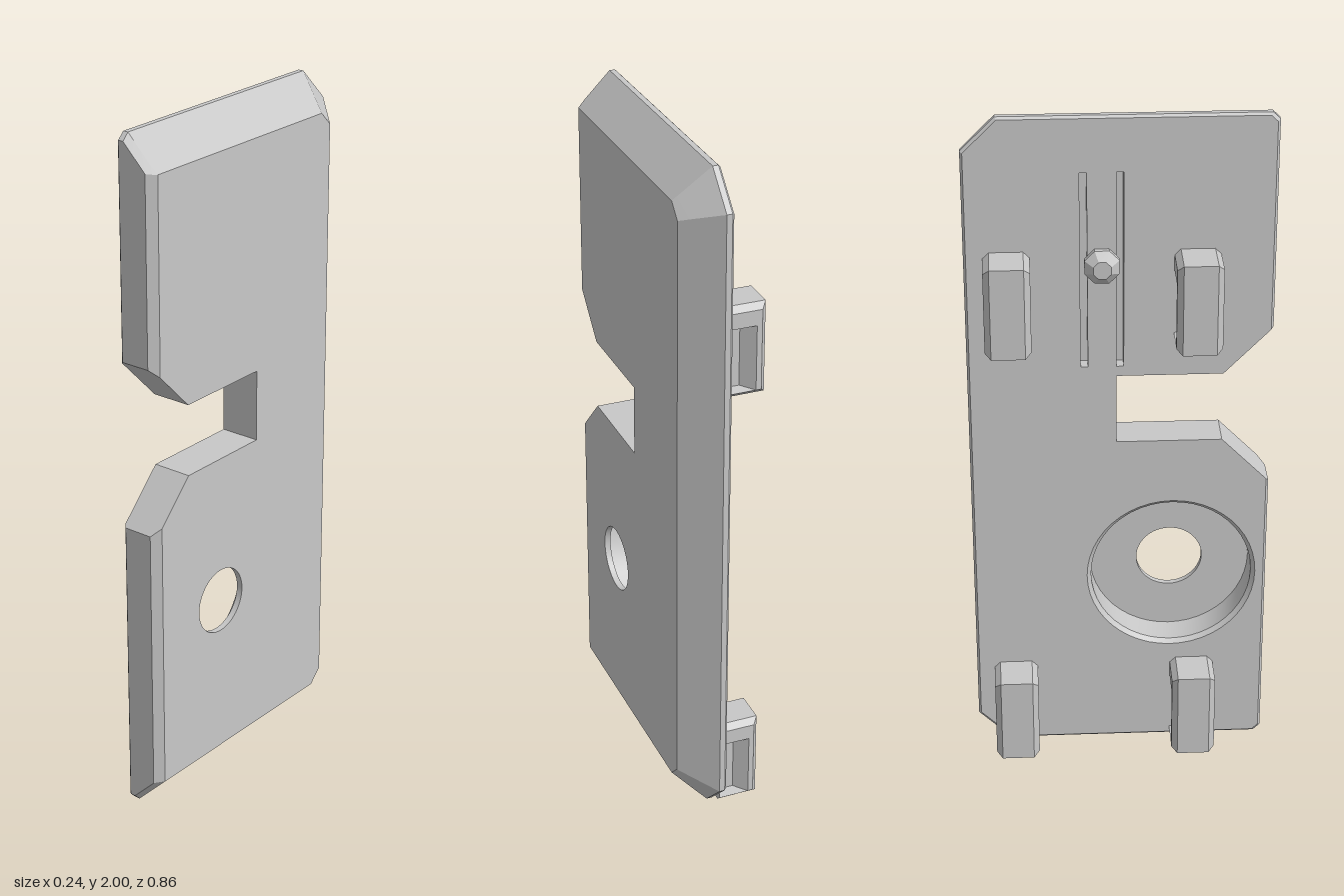
import * as THREE from 'three';
import { toCreasedNormals } from 'three/addons/utils/BufferGeometryUtils.js';

// Local frame while building: u = towards the back, y = up, w = outwards (+x after turning).
const T = 0.118;   // plate thickness
const HALF = 0.4275; // half depth of the plate

// Skin between closed loops of equal length, with optional fan caps
function loft(rings, capStart = false, capEnd = false) {
  const n = rings[0].length, index = [];
  for (let r = 0; r < rings.length - 1; r++) {
    for (let i = 0; i < n; i++) {
      const a = r * n + i, b = r * n + (i + 1) % n;
      index.push(a, b, b + n, a, b + n, a + n);
    }
  }
  const last = (rings.length - 1) * n;
  for (let i = 1; i < n - 1; i++) {
    if (capStart) index.push(0, i + 1, i);
    if (capEnd) index.push(last, last + i, last + i + 1);
  }
  const geo = new THREE.BufferGeometry();
  geo.setAttribute('position', new THREE.Float32BufferAttribute(rings.flat(2), 3));
  geo.setIndex(index);
  return toCreasedNormals(geo, 0.3);
}

// Plate outline at height w; c insets top, back and bottom, f insets the front
function outline(w, c, f, k, e) {
  const F = -HALF + f, B = HALF - c;
  return [
    [F + e, c], [B - k, c], [B, c + k], [B, 2 - c - k], [B - k, 2 - c], [F + e, 2 - c], [F, 2 - c - e],
    [F, 1.37 - f], [-0.29, 1.23], [0.01, 1.23], [0.01, 1.02], [-0.29, 1.02], [F, 0.88 + f], [F, c + e],
  ].map(([u, y]) => [u, y, w]);
}

// Clockwise loops for openings
function circle(r, w) {
  return Array.from({ length: 48 }, (_, i) => {
    const a = -i / 48 * Math.PI * 2;
    return [-0.15 + r * Math.cos(a), 0.575 + r * Math.sin(a), w];
  });
}
function slot(u, w) {
  return [[u - 0.01, 1.26, w], [u - 0.01, 1.84, w], [u + 0.01, 1.84, w], [u + 0.01, 1.26, w]];
}

// Flat face with holes
function face(loop, holes, w, flip) {
  const v = (ring) => ring.map(([u, y]) => new THREE.Vector2(u, y));
  const shape = new THREE.Shape(v(loop));
  holes.forEach((h) => shape.holes.push(new THREE.Path(v(h))));
  const geo = new THREE.ShapeGeometry(shape).translate(0, 0, w);
  if (flip) {
    geo.index.array.reverse();
    geo.computeVertexNormals();
  }
  return geo;
}

// Bevelled clip with a sunken panel on both sides, centred on u = 0, foot at y = 0
function clipGeometry() {
  const ring = (u, w0, y0, y1) => [[u, y0, w0], [u, y1, w0], [u, y1, 0], [u, y0, 0]];
  const half = [
    [0.03, -0.055, 0.02, 0.188],  // panel floor
    [0.064, -0.09, 0.015, 0.205], // panel rim
    [0.064, -0.105, 0.015, 0.25], // side face
    [0.047, -0.12, 0, 0.267],     // body
  ];
  const rings = half.map(([u, ...s]) => ring(-u, ...s));
  half.slice().reverse().forEach(([u, ...s]) => rings.push(ring(u, ...s)));
  return loft(rings, true, true);
}

export function createModel() {
  const grey = new THREE.MeshStandardMaterial({ color: 0xc8c8c8 });
  grey.name = 'light grey';
  const model = new THREE.Group();
  model.name = 'coverPlate';
  const body = new THREE.Group();
  body.name = 'body';
  body.rotation.y = Math.PI / 2;
  model.add(body);
  const add = (name, geo, u = 0, y = 0) => {
    const mesh = new THREE.Mesh(geo, grey);
    mesh.name = name;
    mesh.position.set(u, y, 0);
    body.add(mesh);
    return mesh;
  };

  // Plate edge with wide bevels at top, back and bottom, and a narrow one in front
  const rings = [
    outline(0, 0.007, 0.007, 0.092, 0.018),
    outline(0.007, 0, 0, 0.095, 0.02),
    outline(0.023, 0, 0, 0.095, 0.02),
    outline(0.095, 0.072, 0, 0.053, 0.02),
    outline(T, 0.095, 0.023, 0.04, 0.001),
  ];
  add('plateEdge', loft(rings));

  // Outer and inner faces
  const slots = [0, 0.1];
  add('outerFace', face(rings[4], [circle(0.097, T)], T, false));
  add('innerFace', face(rings[0], [circle(0.247, 0), ...slots.map((u) => slot(u, 0))], 0, true));

  // Stepped round recess with a through hole
  add('roundRecess', loft([
    circle(0.247, 0), circle(0.235, 0.012), circle(0.235, 0.1), circle(0.097, 0.1), circle(0.097, T),
  ]));

  // Two narrow grooves and the locating bump between them
  slots.forEach((u) => add('groove', loft([slot(u, 0), slot(u, 0.04)], false, true)));
  const bumpRing = (r, w) => Array.from({ length: 8 }, (_, i) => {
    const a = (i + 0.5) * Math.PI / 4;
    return [r * Math.cos(a), r * Math.sin(a), w];
  });
  add('locatingBump', loft([bumpRing(0.027, -0.04), bumpRing(0.052, -0.016), bumpRing(0.052, 0)], true), 0.05, 1.57);

  // Four clips on the inner face
  const clip = clipGeometry();
  for (const u of [0.311, -0.213]) {
    for (const y of [0.012, 1.346]) add('clip', clip, u, y);
  }
  return model;
}
